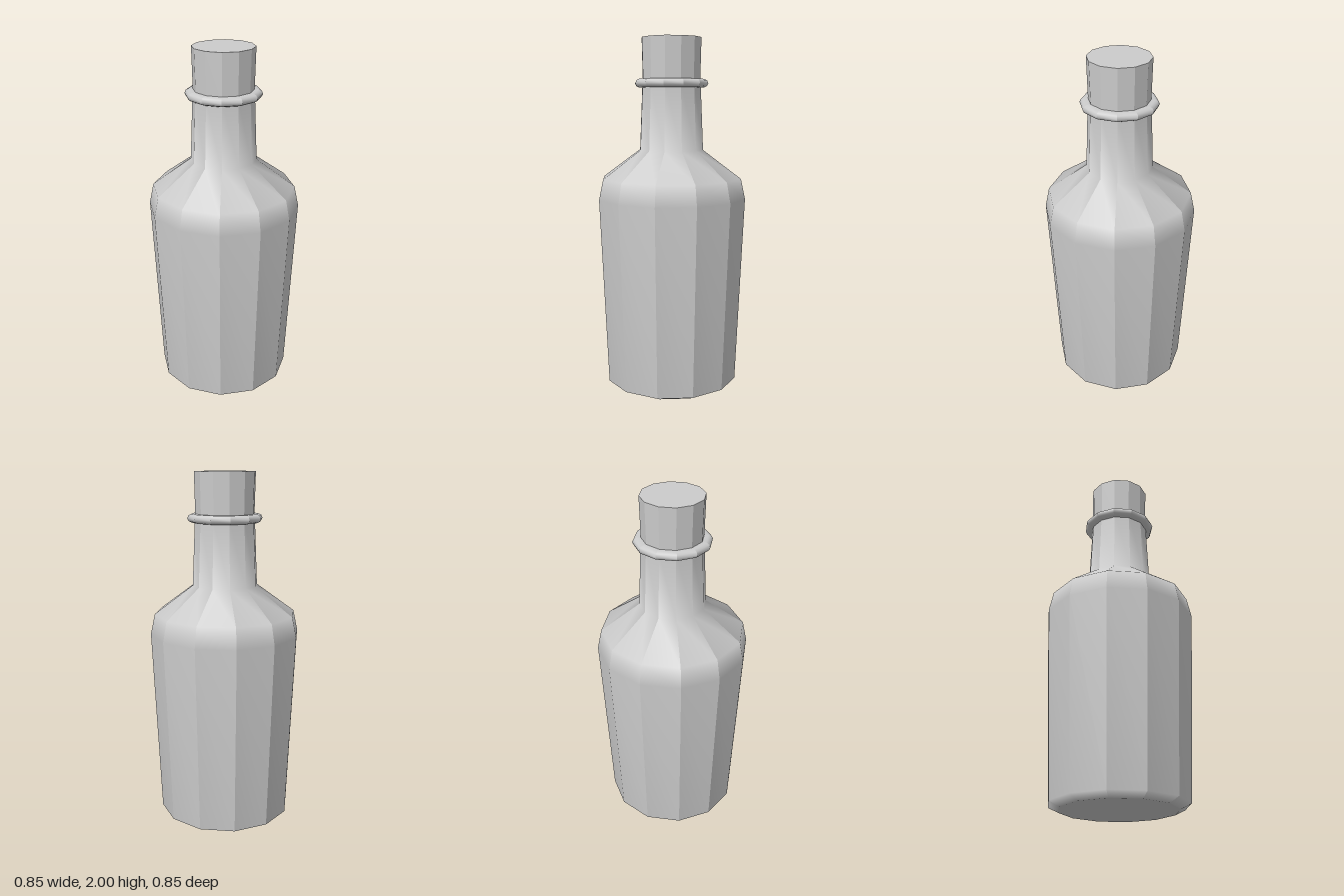
import * as THREE from 'three';
import { mergeGeometries } from 'three/addons/utils/BufferGeometryUtils.js';

const SIDES = 12;
const material = new THREE.MeshStandardMaterial({ color: 0xcccccc });

// Twelve separate panels: crisp edges around, smooth shading along the height
function facetedLathe(name, profile) {
  const points = profile.map(([r, y]) => new THREE.Vector2(r, y));
  const step = (Math.PI * 2) / SIDES;
  const panels = [];
  for (let i = 0; i < SIDES; i++) {
    const panel = new THREE.LatheGeometry(points, 1, i * step, step);
    panel.computeVertexNormals();
    panels.push(panel);
  }
  const mesh = new THREE.Mesh(mergeGeometries(panels), material);
  mesh.name = name;
  return mesh;
}

// Flat twelve-sided disc facing up (1) or down (-1)
function disc(name, radius, y, facing) {
  const mesh = new THREE.Mesh(new THREE.CircleGeometry(radius, SIDES), material);
  mesh.rotation.x = -facing * Math.PI / 2;
  mesh.position.y = y;
  mesh.name = name;
  return mesh;
}

export function createModel() {
  const bottle = new THREE.Group();
  bottle.name = 'bottle';

  // Tapered body, rounded shoulder and neck
  bottle.add(facetedLathe('bottleBody', [
    [0.325, 0], [0.382, 0.028], [0.427, 1.1], [0.402, 1.215],
    [0.184, 1.375], [0.168, 1.75],
  ]));
  bottle.add(disc('base', 0.325, 0, -1));

  // Rounded collar around the neck
  bottle.add(facetedLathe('neckRing', [
    [0.16, 1.725], [0.188, 1.725], [0.204, 1.733], [0.211, 1.748],
    [0.204, 1.764], [0.188, 1.772], [0.16, 1.772],
  ]));

  // Stopper
  bottle.add(facetedLathe('stopper', [[0.165, 1.74], [0.171, 2]]));
  bottle.add(disc('stopperTop', 0.171, 2, 1));
  return bottle;
}
